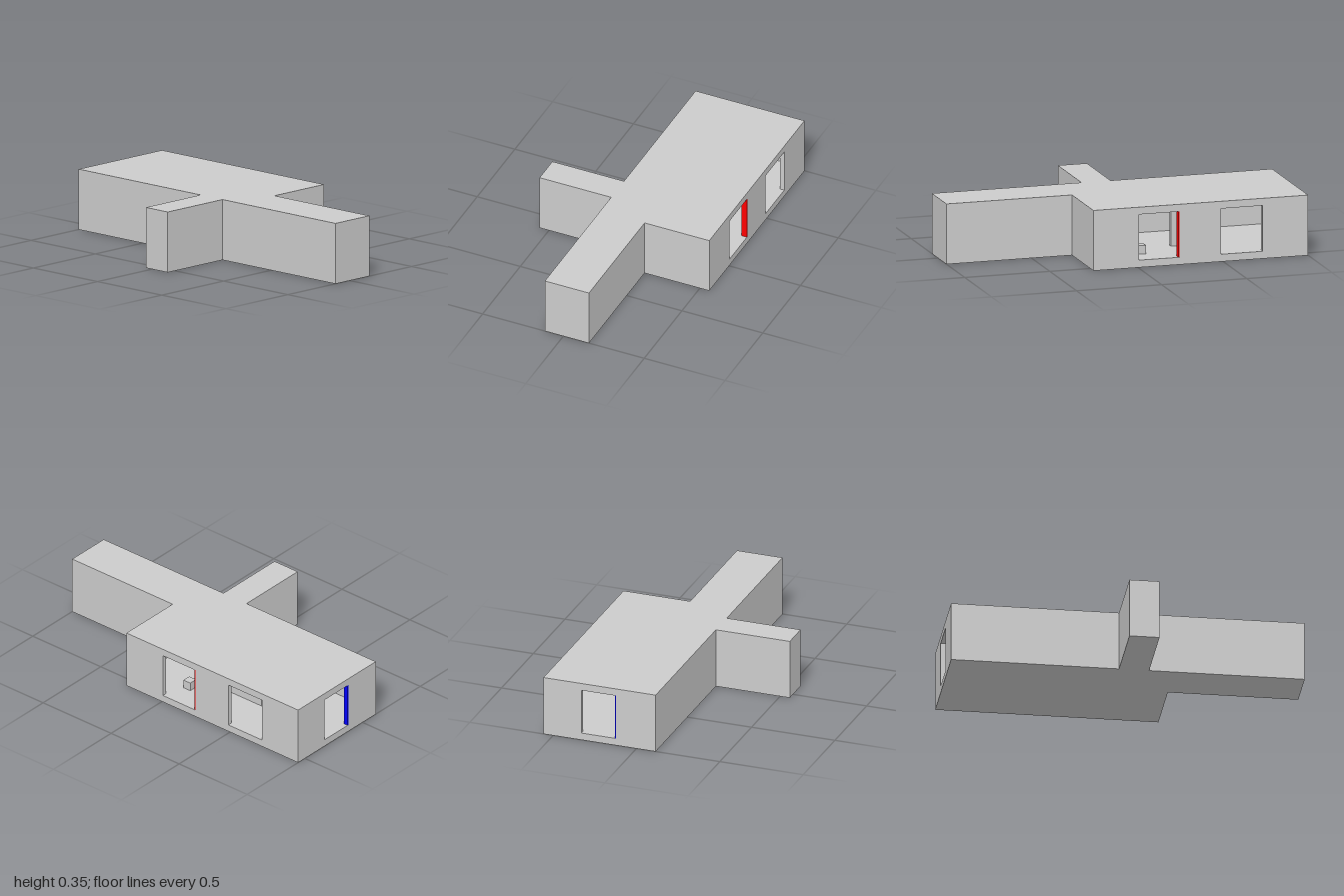
import * as THREE from 'three';

const H = 0.347, T = 0.028, FLOOR = 0.042, CEIL = 0.305;

// Plan outline as [x, z], walked with the outside on the right-hand side
const PLAN = [
  [-1, 0.115], [-0.05, 0.115], [-0.05, 0.558], [0.12, 0.558], [0.12, 0.115],
  [1, 0.115], [1, -0.158], [0.262, -0.158], [0.262, -0.558], [-1, -0.558],
];
// Openings per wall index, as distances along that wall
const OPENINGS = { 8: [[0.268, 0.507], [0.749, 0.995]], 9: [[0.228, 0.436]] };

export function createModel() {
  const group = new THREE.Group();
  const mat = (color) => new THREE.MeshStandardMaterial({ color });
  const grey = mat(0xcccccc);

  const add = (name, geometry, material = grey) => {
    const mesh = new THREE.Mesh(geometry, material);
    mesh.name = name;
    group.add(mesh);
    return mesh;
  };
  const box = (name, x0, x1, y0, y1, z0, z1, material) =>
    add(name, new THREE.BoxGeometry(x1 - x0, y1 - y0, z1 - z0), material)
      .position.set((x0 + x1) / 2, (y0 + y1) / 2, (z0 + z1) / 2);

  // Floor and roof slabs
  const slab = (name, y0, y1) => {
    const shape = new THREE.Shape(PLAN.map(([x, z]) => new THREE.Vector2(x, -z)));
    const geo = new THREE.ExtrudeGeometry(shape, { depth: y1 - y0, bevelEnabled: false });
    add(name, geo.rotateX(-Math.PI / 2)).position.y = y0;
  };
  slab('floor', 0, FLOOR);
  slab('roof', CEIL, H);

  // Outer walls with their doorways
  PLAN.forEach(([x, z], i) => {
    const [x2, z2] = PLAN[(i + 1) % PLAN.length];
    const length = Math.hypot(x2 - x, z2 - z);
    const rect = (C, a, b, y0, y1) => new C([[a, y0], [b, y0], [b, y1], [a, y1]]
      .map(([u, v]) => new THREE.Vector2(u, v)));
    const shape = rect(THREE.Shape, 0, length, 0, H);
    for (const [a, b] of OPENINGS[i] ?? []) shape.holes.push(rect(THREE.Path, a, b, FLOOR, CEIL));
    const geo = new THREE.ExtrudeGeometry(shape, { depth: T, bevelEnabled: false });
    const wall = add('outerWall', geo.translate(0, 0, -T));
    wall.position.set(x, 0, z);
    wall.rotation.y = Math.atan2(z - z2, x2 - x);
  });

  // Inside: partition, slim post and a small block on the floor
  box('partition', -0.5, -0.28, FLOOR, CEIL, -0.285, -0.26);
  box('post', 0.005, 0.02, FLOOR, CEIL, -0.235, -0.215);
  box('block', -0.09, -0.04, FLOOR, FLOOR + 0.05, -0.42, -0.37);

  // Coloured door panels
  box('redDoorPanel', -0.245, -0.238, FLOOR, CEIL, -0.557, -0.525, mat(0xff0000));
  box('blueDoorPanel', -0.999, -0.972, FLOOR, CEIL, -0.129, -0.122, mat(0x0000ff));
  box('greenDoorPanel', 0.225, 0.234, FLOOR, CEIL, -0.22, -0.13, mat(0x008000));
  return group;
}
